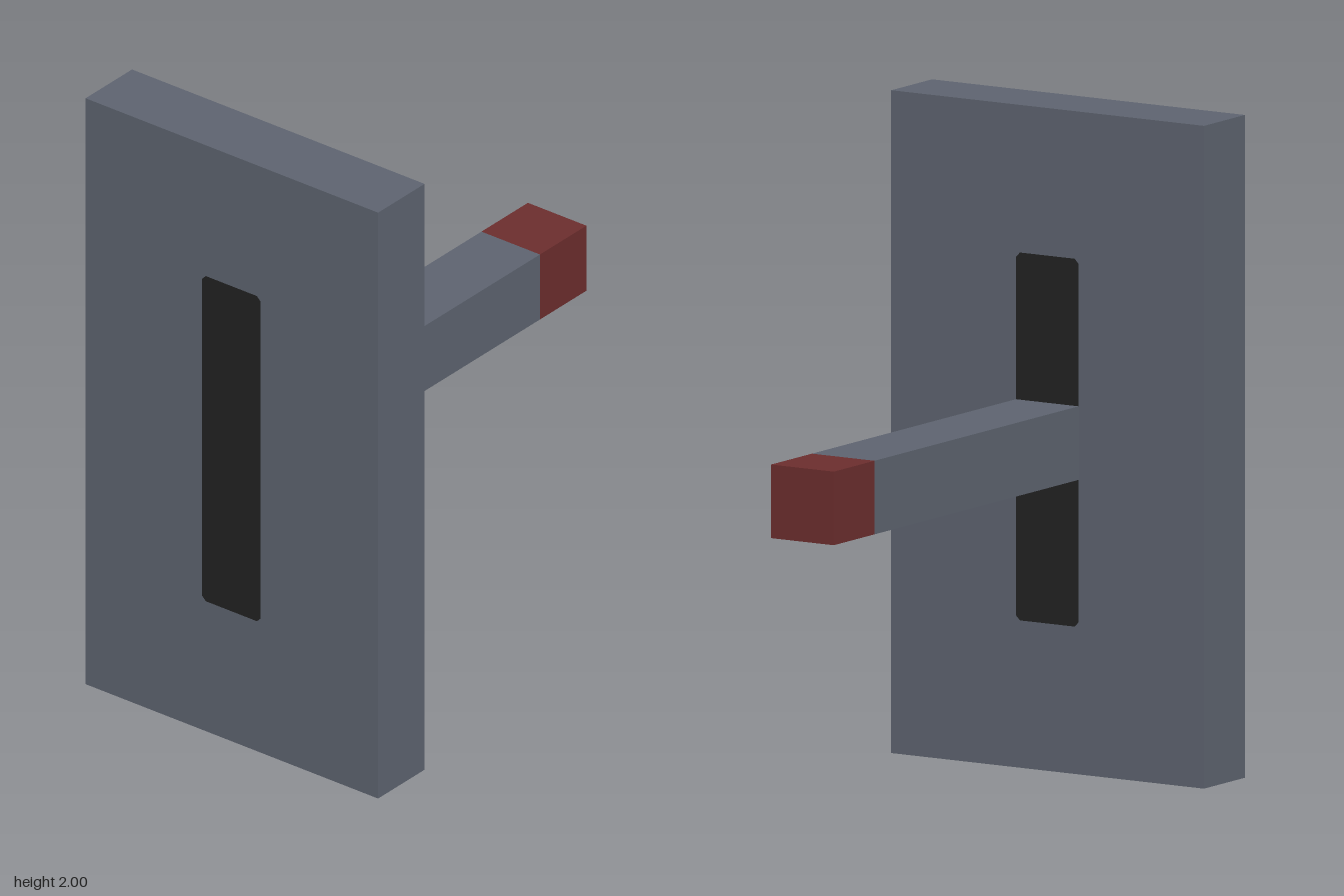
import * as THREE from 'three';

const steel = new THREE.MeshStandardMaterial({ name: 'slate grey', color: 0x5d636f });
const red = new THREE.MeshStandardMaterial({ name: 'dark red', color: 0x6b2d2d });
const black = new THREE.MeshStandardMaterial({ name: 'near black', color: 0x222222 });

const U = 0.222; // width of the square bar, also the plate thickness
const DEPTH = 7 * U;
const FRONT = DEPTH / 2;
const BACK = FRONT - U;

function add(group, name, geometry, material, x, y, z) {
  const mesh = new THREE.Mesh(geometry, material);
  mesh.name = name;
  mesh.position.set(x, y, z);
  group.add(mesh);
  return mesh;
}

// Tall slot outline with small clipped corners
function slotGeometry(w, h, c) {
  const x = w / 2, y = h / 2;
  const pts = [[-x + c, -y], [x - c, -y], [x, -y + c], [x, y - c],
    [x - c, y], [-x + c, y], [-x, y - c], [-x, -y + c]];
  return new THREE.ShapeGeometry(new THREE.Shape(pts.map(p => new THREE.Vector2(...p))));
}

export function createModel() {
  const group = new THREE.Group();
  group.name = 'slottedPlateWithRod';

  // Upright plate
  add(group, 'plate', new THREE.BoxGeometry(5 * U, 2, U), steel, 0, 1, FRONT - U / 2);

  // Dark slot face on both sides of the plate
  const slot = slotGeometry(U, 5 * U, 0.014);
  add(group, 'frontSlot', slot, black, 0, 1, FRONT + 0.002);
  add(group, 'backSlot', slot, black, 0, 1, BACK - 0.002).rotation.y = Math.PI;

  // Square rod running backwards, ending in a red tip
  const rodEnd = -FRONT + U;
  add(group, 'rod', new THREE.BoxGeometry(U, U, BACK - rodEnd), steel, 0, 1, (BACK + rodEnd) / 2);
  add(group, 'rodTip', new THREE.BoxGeometry(U, U, U), red, 0, 1, rodEnd - U / 2);

  return group;
}
